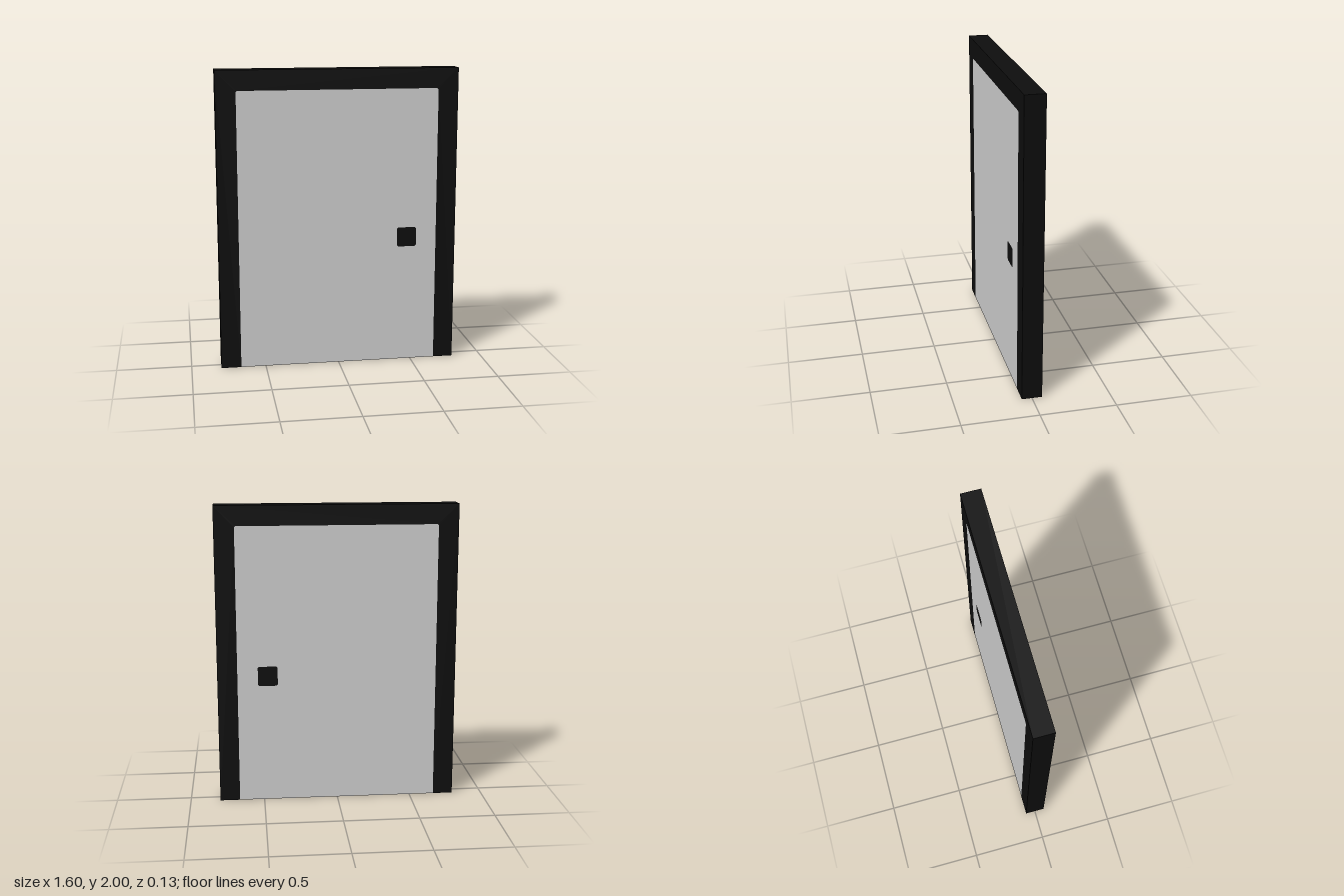
import * as THREE from 'three';

const DEPTH = 0.133;
const W = 0.8, H = 2;            // outer half width and height
const PW = 0.667, PH = 1.867;    // panel half width and height
const CUT = 0.009;               // small clipped corners

const frameMat = new THREE.MeshStandardMaterial({ color: 0x0d0d0d });
frameMat.name = 'black';
const panelMat = new THREE.MeshStandardMaterial({ color: 0xcacaca });
panelMat.name = 'lightGrey';

const points = (list) => list.map(([x, y]) => new THREE.Vector2(x, y));

// Flat slab centred on z = 0
function slab(name, shape, material) {
  const geometry = new THREE.ExtrudeGeometry(shape, { depth: DEPTH, bevelEnabled: false });
  geometry.translate(0, 0, -DEPTH / 2);
  const mesh = new THREE.Mesh(geometry, material);
  mesh.name = name;
  return mesh;
}

// Square with clipped corners
function clippedSquare(cx, cy, r) {
  const c = r - CUT;
  return points([[-c, -r], [c, -r], [r, -c], [r, c], [c, r], [-c, r], [-r, c], [-r, -c]]
    .map(([x, y]) => [cx + x, cy + y]));
}

export function createModel() {
  const group = new THREE.Group();
  group.name = 'door';

  // Panel outline, from bottom left, shared with the inside of the frame
  const outline = [[-PW, 0], [PW, 0], [PW, PH - CUT], [PW - CUT, PH], [-PW + CUT, PH], [-PW, PH - CUT]];
  const handleOutline = clippedSquare(0.465, 0.867, 0.066);

  // Frame: two posts and a lintel in one piece
  const frame = new THREE.Shape(points([
    [-W, 0], ...[outline[0], outline[5], outline[4], outline[3], outline[2], outline[1]],
    [W, 0], [W, H], [-W, H],
  ]));
  group.add(slab('frame', frame, frameMat));

  // Panel with a cutout filled by the flush handle
  const panel = new THREE.Shape(points(outline));
  panel.holes.push(new THREE.Path(handleOutline));
  group.add(slab('panel', panel, panelMat));
  group.add(slab('handle', new THREE.Shape(handleOutline), frameMat));

  return group;
}
